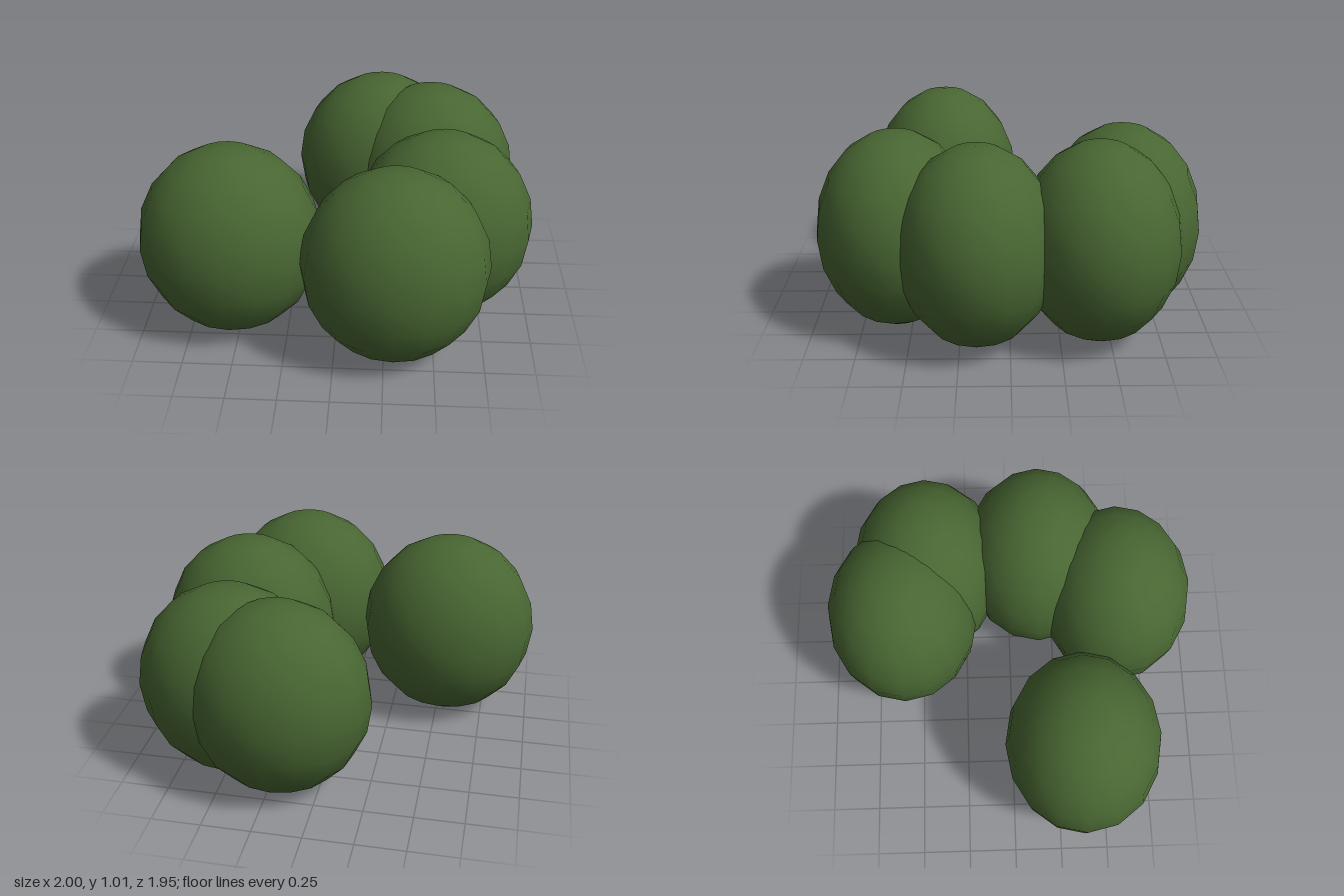
import * as THREE from 'three';

export function createModel() {
  const model = new THREE.Group();
  model.name = 'bushCluster';

  const leafGreen = new THREE.MeshStandardMaterial({ color: 0x486632 });
  leafGreen.name = 'leafGreen';

  // One shared ellipsoid: slightly taller than wide, and narrower in depth
  const radius = { x: 0.465, y: 0.503, z: 0.402 };
  const bushGeometry = new THREE.SphereGeometry(1, 16, 10);
  bushGeometry.scale(radius.x, radius.y, radius.z);

  // Bush centres on the ground plane: [x, z]
  const centres = [
    [-0.535, 0.36],
    [0.205, -0.574],
    [0.483, -0.44],
    [0.535, 0.162],
    [0.295, 0.572],
  ];

  centres.forEach(([x, z], i) => {
    const bush = new THREE.Mesh(bushGeometry, leafGreen);
    bush.name = `bush${i + 1}`;
    bush.position.set(x, radius.y, z);
    model.add(bush);
  });

  return model;
}
